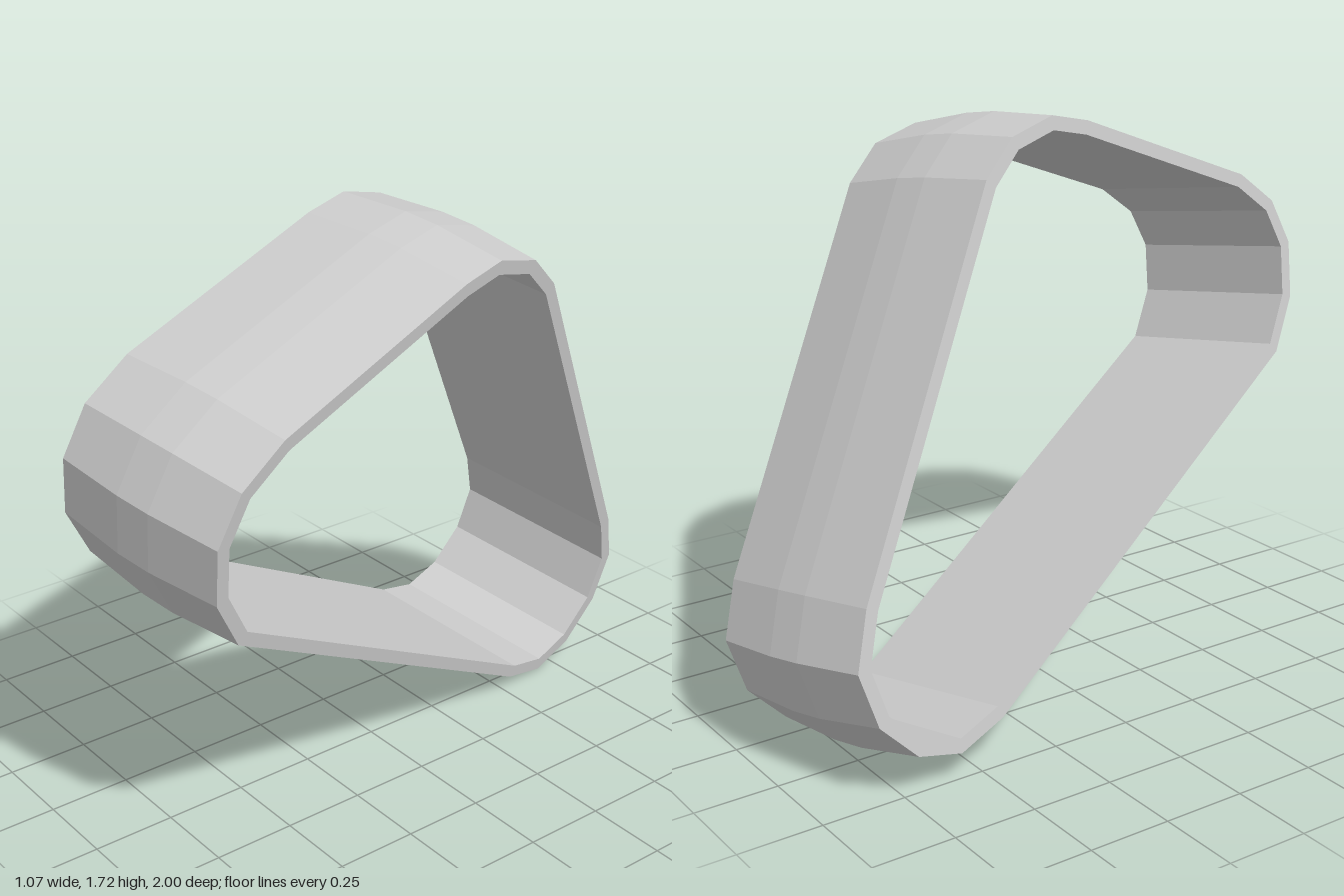
import * as THREE from 'three';

// Rounded-triangle outline of the right-hand rim as [z, y], counter-clockwise seen from +x
const OUTLINE = [
  [-0.52, 0.05], [-0.68, 0.005], [-0.83, 0.05], [-0.95, 0.17], [-1.0, 0.33], [-0.95, 0.49],
  [-0.39, 1.5], [-0.28, 1.6], [-0.12, 1.64], [0.02, 1.61],
  [0.68, 1.37], [0.82, 1.27], [0.89, 1.13], [0.88, 0.96], [0.79, 0.8],
];

// Vector from one rim of the tilted band to the other
const SWEEP = new THREE.Vector3(-0.555, 0.085, 0.105);

// Wall section: [position along the sweep, outward offset]; crowned outside, flat inside
const SECTION = [[0, 0], [0.4, 0.02], [0.6, 0.02], [1, 0], [1, -0.04], [0, -0.04]];

// Mitred offset of outline point i, returned as [z, y]
function offsetPoint(i, d) {
  const n = OUTLINE.length;
  const at = (k) => OUTLINE[(k + n) % n];
  const normal = (a, b) => new THREE.Vector2(b[1] - a[1], a[0] - b[0]).normalize();
  const n1 = normal(at(i - 1), at(i)), n2 = normal(at(i), at(i + 1));
  const m = n1.clone().add(n2).normalize();
  m.multiplyScalar(d / m.dot(n1));
  // the normals are measured with -z to the right
  return [at(i)[0] + m.x * -1 * -1 * SIGN, at(i)[1] + m.y * SIGN];
}
// Outline runs clockwise in (z, y), so its outward normal is flipped
const SIGN = -1;

// Position on the band: outline point i, section point s, lying in the tilted rim plane
function bandPoint(i, s) {
  const [t, d] = SECTION[s];
  const [z, y] = offsetPoint(i, d);
  return new THREE.Vector3(0.168 + 0.162 * y + 0.19 * z, y, z).addScaledVector(SWEEP, t);
}

export function createModel() {
  const n = OUTLINE.length, m = SECTION.length;
  const positions = [], index = [];
  for (let i = 0; i < n; i++) {
    for (let s = 0; s < m; s++) {
      positions.push(...bandPoint(i, s).toArray());
      const j = (i + 1) % n, u = (s + 1) % m;
      const a = i * m + s, b = j * m + s, c = j * m + u, d = i * m + u;
      index.push(a, d, c, a, c, b);
    }
  }
  let geometry = new THREE.BufferGeometry();
  geometry.setAttribute('position', new THREE.Float32BufferAttribute(positions, 3));
  geometry.setIndex(index);
  geometry = geometry.toNonIndexed();
  geometry.computeVertexNormals();

  // Closed band with crowned outer wall
  const band = new THREE.Mesh(
    geometry,
    new THREE.MeshStandardMaterial({ color: 0xcccccc, flatShading: true }),
  );
  band.name = 'band';
  const group = new THREE.Group();
  group.name = 'roundedTriangleBand';
  group.add(band);
  return group;
}
